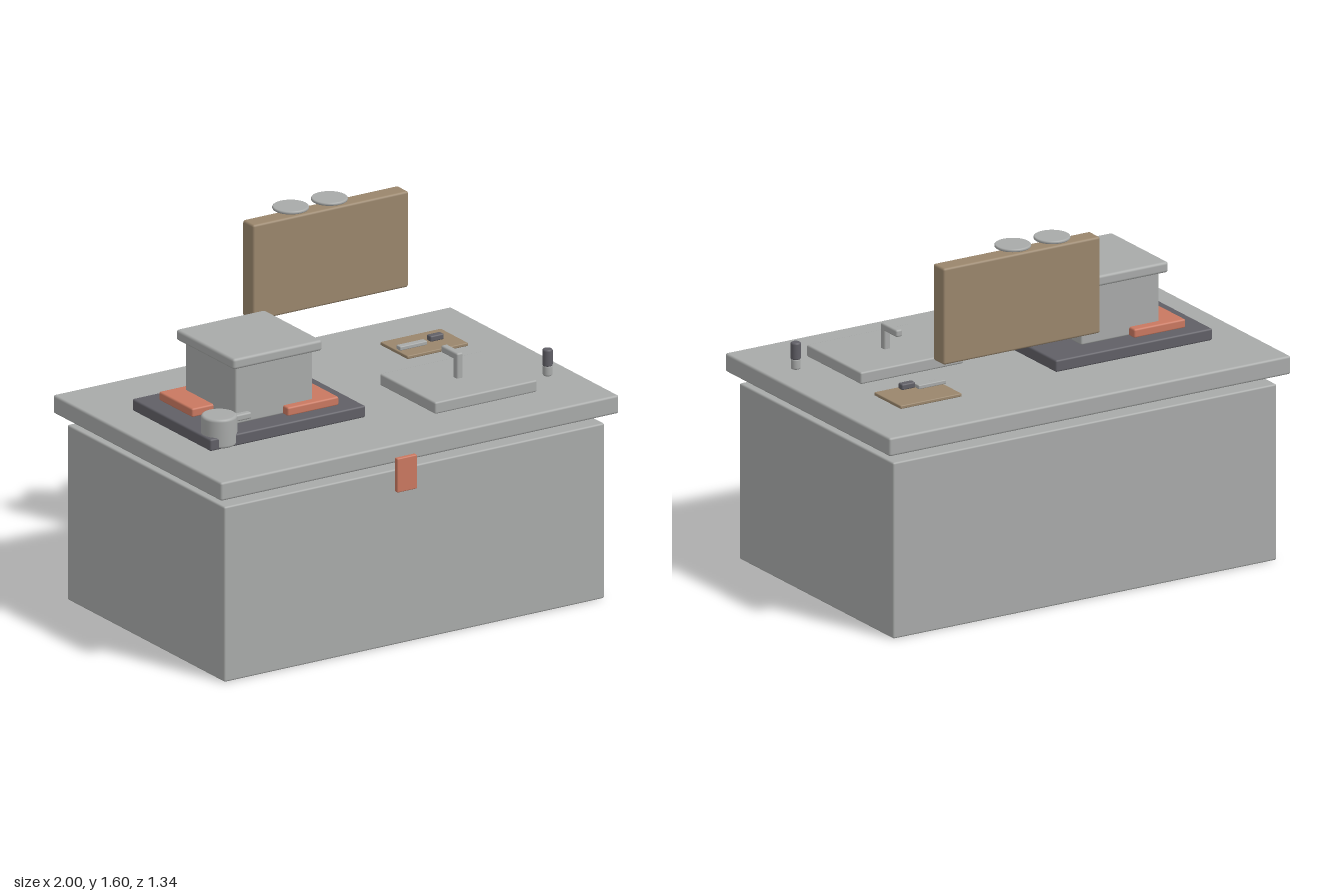
import * as THREE from 'three';
import { RoundedBoxGeometry } from 'three/addons/geometries/RoundedBoxGeometry.js';

const stone = new THREE.MeshStandardMaterial({ color: 0xa8aaa9 });
stone.name = 'grey stone';
const charcoal = new THREE.MeshStandardMaterial({ color: 0x605f66 });
charcoal.name = 'charcoal';
const wood = new THREE.MeshStandardMaterial({ color: 0x9a866c });
wood.name = 'brown wood';
const cloth = new THREE.MeshStandardMaterial({ color: 0xc97860 });
cloth.name = 'terracotta cloth';

// Box with softened edges, given by its limits on each axis
function block(name, material, [x0, x1], [y0, y1], [z0, z1], radius = 0.008) {
  const w = x1 - x0, h = y1 - y0, d = z1 - z0;
  const r = Math.min(radius, 0.35 * Math.min(w, h, d));
  const mesh = new THREE.Mesh(new RoundedBoxGeometry(w, h, d, 2, r), material);
  mesh.position.set((x0 + x1) / 2, (y0 + y1) / 2, (z0 + z1) / 2);
  mesh.name = name;
  return mesh;
}

// Upright round part with softened rims
function round(name, material, x, z, radius, y0, y1, rim) {
  const h = y1 - y0, points = [new THREE.Vector2(0, 0)];
  for (let i = 0; i <= 4; i++) {
    const a = (i / 4) * Math.PI / 2;
    points.push(new THREE.Vector2(radius - rim + rim * Math.sin(a), rim - rim * Math.cos(a)));
  }
  for (let i = 0; i <= 4; i++) {
    const a = (i / 4) * Math.PI / 2;
    points.push(new THREE.Vector2(radius - rim + rim * Math.cos(a), h - rim + rim * Math.sin(a)));
  }
  points.push(new THREE.Vector2(0, h));
  const mesh = new THREE.Mesh(new THREE.LatheGeometry(points, 32), material);
  mesh.position.set(x, y0, z);
  mesh.name = name;
  return mesh;
}

function group(name, ...parts) {
  const g = new THREE.Group();
  g.name = name;
  g.add(...parts);
  return g;
}

export function createModel() {
  return group('kitchenIsland',
    // Cabinet, worktop and the towel hanging in front
    block('cabinet', stone, [-0.955, 0.955], [0, 0.785], [-0.628, 0.59]),
    block('worktop', stone, [-1, 1], [0.833, 0.915], [-0.67, 0.633], 0.01),
    block('towel', cloth, [-0.138, -0.038], [0.712, 0.865], [0.648, 0.67], 0.005),

    // Stove plate with pot and pads
    block('stovePlate', charcoal, [-0.826, -0.046], [0.915, 0.968], [-0.325, 0.282]),
    group('pot',
      block('potBody', stone, [-0.631, -0.243], [0.966, 1.227], [-0.212, 0.176]),
      block('potLid', stone, [-0.66, -0.213], [1.224, 1.272], [-0.242, 0.206], 0.012)),
    block('backPad', cloth, [-0.738, -0.482], [0.965, 1.005], [-0.253, 0.005]),
    block('frontPad', cloth, [-0.392, -0.135], [0.965, 1.005], [-0.046, 0.213]),

    // Mug with its bar handle
    group('mug',
      round('mugBody', stone, -0.741, 0.218, 0.077, 0.917, 1.048, 0.012),
      block('mugHandle', stone, [-0.69, -0.588], [1.002, 1.032], [0.206, 0.236])),

    // Sink slab and tap
    block('sink', stone, [0.219, 0.733], [0.915, 0.968], [-0.018, 0.412]),
    group('tap',
      block('tapPost', stone, [0.457, 0.489], [0.96, 1.08], [0.182, 0.215]),
      block('tapSpout', stone, [0.457, 0.489], [1.048, 1.08], [0.088, 0.213])),

    // Chopping board and knife
    block('choppingBoard', wood, [0.473, 0.778], [0.927, 0.942], [-0.405, -0.194], 0.004),
    group('knife',
      block('knifeBlade', stone, [0.473, 0.61], [0.948, 0.966], [-0.282, -0.25], 0.004),
      block('knifeHandle', charcoal, [0.624, 0.692], [0.958, 0.984], [-0.28, -0.247], 0.006)),

    // Pepper mill
    group('pepperMill',
      round('millBase', stone, 0.868, 0.282, 0.021, 0.923, 0.972, 0.008),
      round('millTop', charcoal, 0.868, 0.282, 0.022, 0.966, 1.043, 0.008)),

    // Raised back panel with two plates above
    block('backPanel', wood, [-0.133, 0.648], [1.138, 1.568], [-0.539, -0.454], 0.01),
    ...[0.083, 0.278].map((x, i) =>
      round('plate' + (i + 1), stone, x, -0.498, 0.078, 1.588, 1.602, 0.006)));
}
